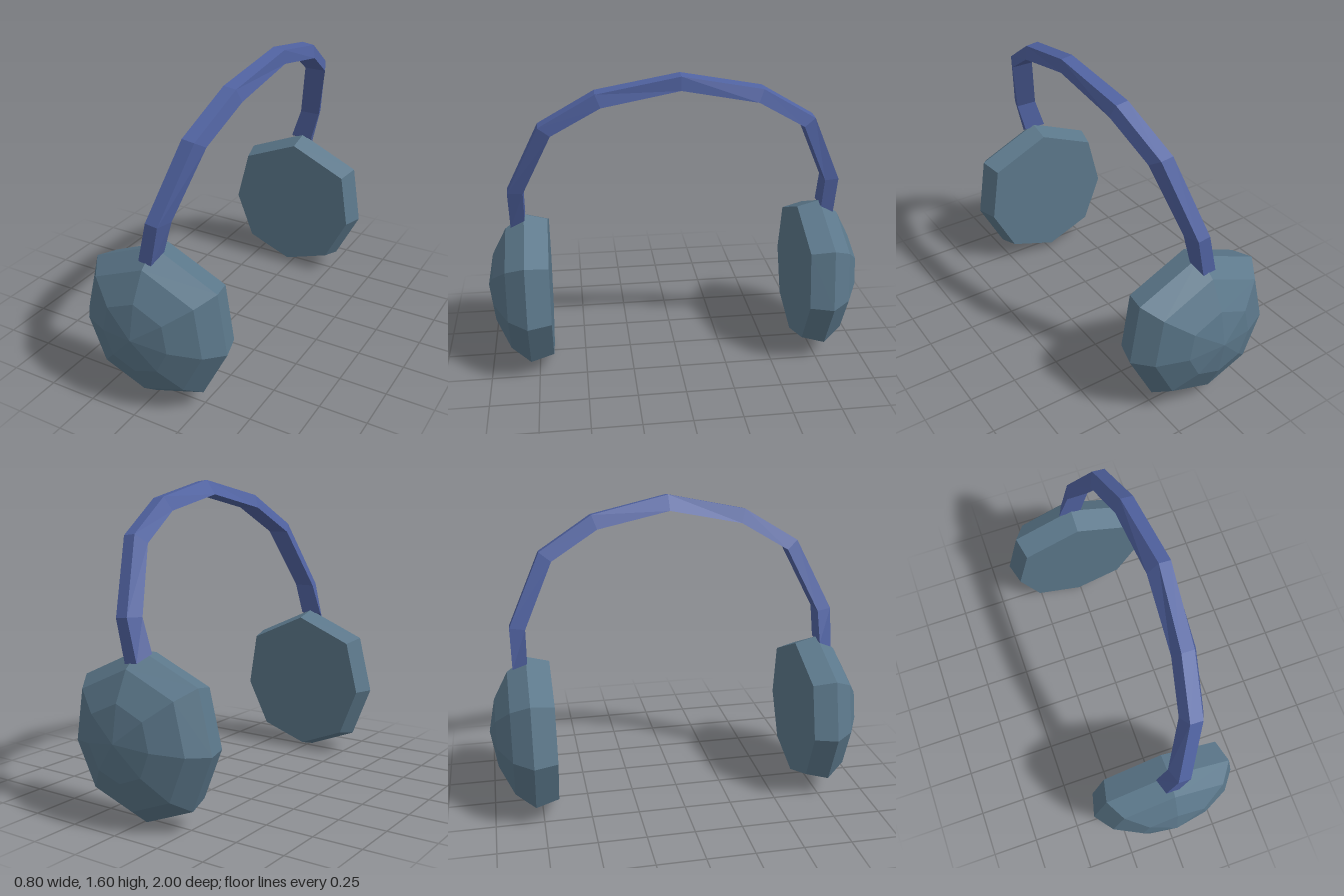
import * as THREE from 'three';

// Flat-shaded solid through rings of points, capped at both ends.
// Each ring runs counter-clockwise seen from the end of the path.
function loft(rings) {
  const pos = [];
  const tri = (a, b, c) => {
    const n = b.clone().sub(a).cross(c.clone().sub(a));
    if (n.length() > 1e-8) for (const p of [a, b, c]) pos.push(p.x, p.y, p.z);
  };
  const n = rings[0].length;
  for (let i = 0; i < rings.length - 1; i++) {
    for (let j = 0; j < n; j++) {
      const k = (j + 1) % n;
      const a = rings[i][j], b = rings[i][k], c = rings[i + 1][k], d = rings[i + 1][j];
      tri(a, b, c);
      tri(a, c, d);
    }
  }
  const first = rings[0], last = rings[rings.length - 1];
  for (let j = 1; j < n - 1; j++) {
    tri(first[0], first[j + 1], first[j]);
    tri(last[0], last[j], last[j + 1]);
  }
  const g = new THREE.BufferGeometry();
  g.setAttribute('position', new THREE.Float32BufferAttribute(pos, 3));
  g.computeVertexNormals();
  return g;
}

export function createModel() {
  const cupMat = new THREE.MeshStandardMaterial({ color: 0x5b778a, flatShading: true });
  cupMat.name = 'slate blue';
  const bandMat = new THREE.MeshStandardMaterial({ color: 0x5062a0, flatShading: true });
  bandMat.name = 'indigo';

  const model = new THREE.Group();
  model.name = 'earmuffs';
  const add = (name, rings, mat) => {
    const mesh = new THREE.Mesh(loft(rings), mat);
    mesh.name = name;
    model.add(mesh);
  };

  // Ear cups: an uneven octagon scaled along z, flat inside and domed outside
  const outline = [[0.01, 0.835], [-0.325, 0.695], [-0.4, 0.39], [-0.29, 0.115],
    [-0.015, 0.005], [0.265, 0.1], [0.4, 0.365], [0.35, 0.68]];
  const cupProfile = [[0.67, 0.92], [0.79, 1], [0.89, 0.81], [0.965, 0.45], [1, 0]];
  const cupRings = (side) => cupProfile.map(([z, s]) =>
    outline.map(([x, y]) => new THREE.Vector3(x * s, 0.435 + (y - 0.435) * s, z * side)));
  add('frontEarCup', cupRings(1), cupMat);
  add('backEarCup', cupRings(-1).reverse(), cupMat);

  // Headband: trapezoid section, narrow on the outside, leaning towards +x
  // [outer z, outer y, outer x1, outer x2, inner z, inner y, inner x1, inner x2]
  const stations = [
    [0.86, 0.782, -0.03, 0.04, 0.785, 0.82, -0.06, 0.065],
    [0.863, 0.99, 0.02, 0.085, 0.783, 0.985, -0.005, 0.11],
    [0.69, 1.355, 0.115, 0.18, 0.63, 1.31, 0.085, 0.205],
    [0.41, 1.525, 0.165, 0.23, 0.385, 1.455, 0.13, 0.25],
    [0, 1.608, 0.205, 0.265, 0, 1.532, 0.15, 0.27],
  ];
  const section = ([oz, oy, o1, o2, iz, iy, i1, i2], side) => [
    new THREE.Vector3(o1, oy, oz * side), new THREE.Vector3(o2, oy - 0.008, oz * side),
    new THREE.Vector3(i2, iy, iz * side), new THREE.Vector3(i1, iy, iz * side)];
  const half = stations.map((s) => section(s, 1));
  const otherHalf = stations.slice(0, -1).reverse().map((s) => section(s, -1));
  add('headband', [...half, ...otherHalf], bandMat);

  return model;
}
